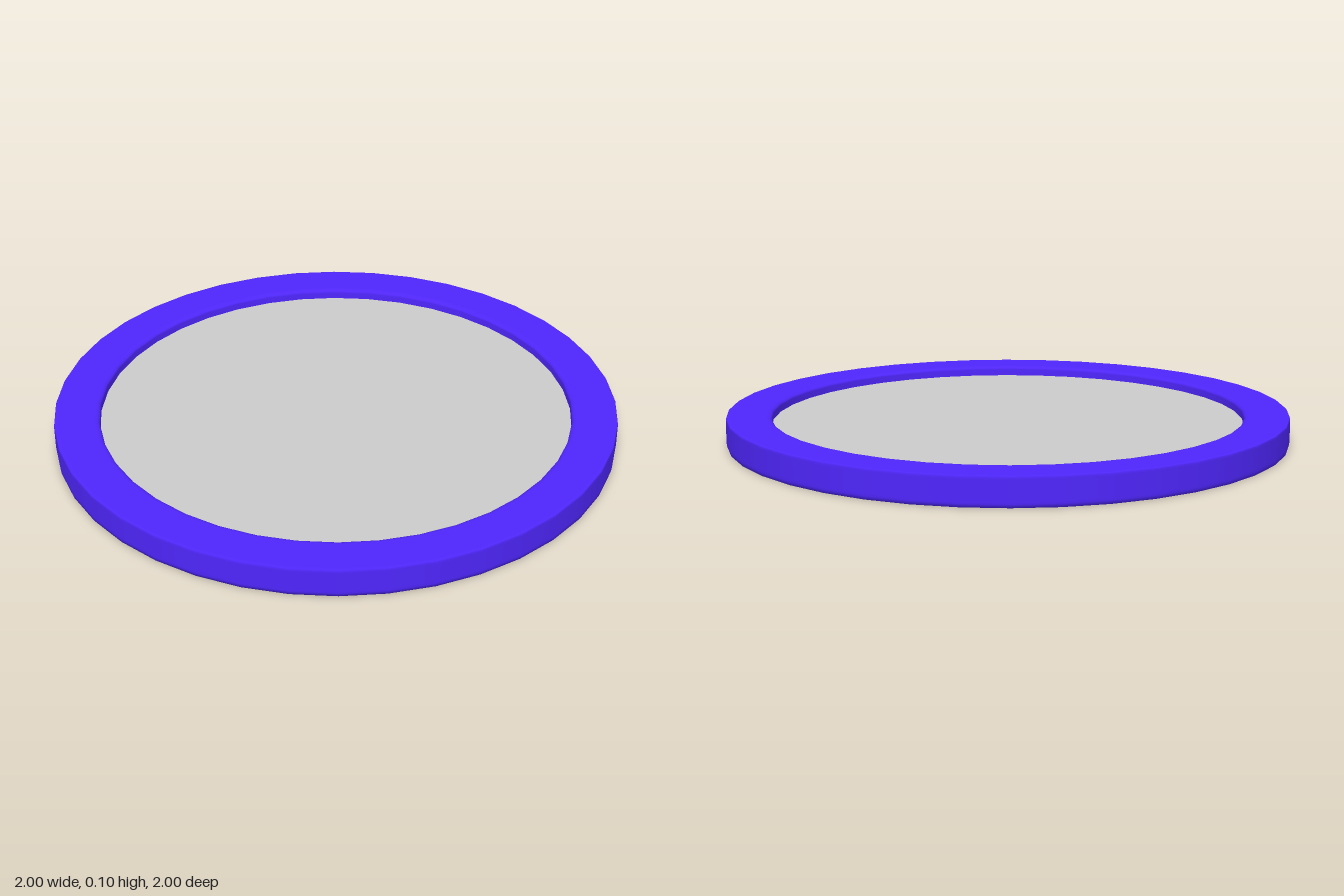
import * as THREE from 'three';

const SIDES = 40;

export function createModel() {
  const model = new THREE.Group();

  // Rim: cross-section swept round, crisp outside and eased along the inner lip
  const section = [
    [0.862, 0.035], [0.862, 0.003], [0.864, 0], [0.87, 0], [0.985, 0], [0.998, 0],
    [1, 0.012], [1, 0.02], [1, 0.09], [1, 0.097], [0.998, 0.1],
    [0.985, 0.1], [0.86, 0.1], [0.85, 0.099], [0.842, 0.094], [0.84, 0.088], [0.84, 0.055],
  ].map(([r, y]) => new THREE.Vector2(r, y));
  const rim = new THREE.Mesh(
    new THREE.LatheGeometry(section, SIDES),
    new THREE.MeshStandardMaterial({ color: 0x4f26fc }),
  );
  rim.name = 'rim';

  // Flat disc held inside the rim, recessed on both faces
  const disc = new THREE.Mesh(
    new THREE.CylinderGeometry(0.865, 0.865, 0.037, SIDES),
    new THREE.MeshStandardMaterial({ color: 0xcccccc }),
  );
  disc.name = 'disc';
  disc.position.y = 0.0465;

  model.add(rim, disc);
  return model;
}
